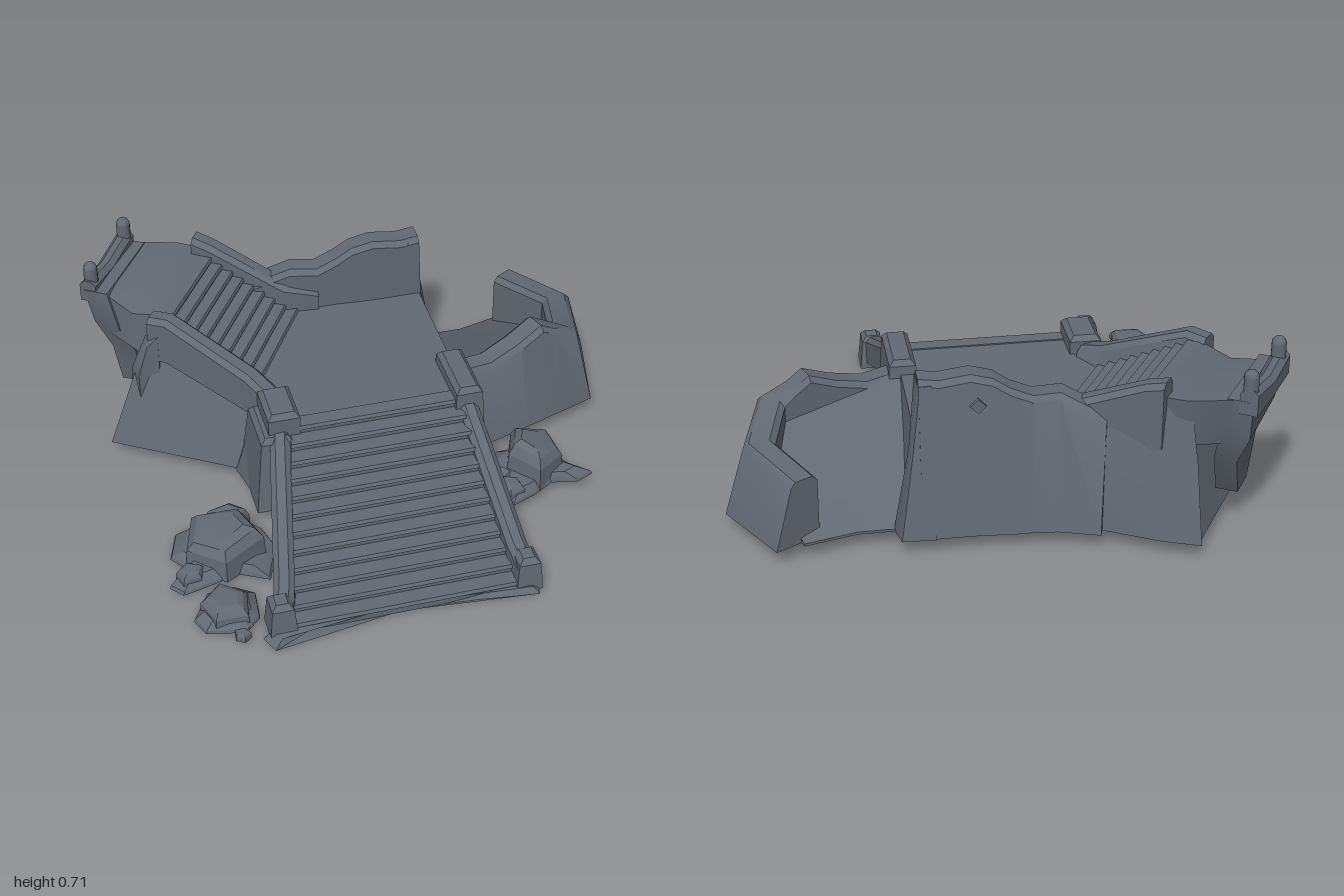
import * as THREE from 'three';
import { toCreasedNormals } from 'three/addons/utils/BufferGeometryUtils.js';

const stone = new THREE.MeshStandardMaterial({ color: 0x626973 });
stone.name = 'slate stone';

const lerp = (a, b, t) => a.map((v, i) => v + (b[i] - v) * t);
const at = (y, pts) => pts.map(([x, z]) => [x, y, z]);

// Skin a closed solid through rings with equal point counts; winding is fixed by signed volume
function skin(rings, crease = 0.6) {
  const tris = [];
  const n = rings[0].length;
  for (let r = 0; r + 1 < rings.length; r++) {
    for (let i = 0; i < n; i++) {
      const j = (i + 1) % n;
      const [a, b, c, d] = [rings[r][i], rings[r][j], rings[r + 1][j], rings[r + 1][i]];
      tris.push([a, b, c], [a, c, d]);
    }
  }
  const cap = (ring, flip) => {
    const mid = [0, 1, 2].map(k => ring.reduce((s, p) => s + p[k], 0) / n);
    ring.forEach((p, i) => {
      const q = ring[(i + 1) % n];
      tris.push(flip ? [mid, q, p] : [mid, p, q]);
    });
  };
  cap(rings[0], true);
  cap(rings[rings.length - 1], false);
  const v = p => new THREE.Vector3(...p);
  const volume = tris.reduce((s, [a, b, c]) => s + v(a).dot(v(b).cross(v(c))), 0);
  const flat = tris.flatMap(([a, b, c]) => (volume < 0 ? [a, c, b] : [a, b, c])).flat();
  const geo = new THREE.BufferGeometry();
  geo.setAttribute('position', new THREE.Float32BufferAttribute(flat, 3));
  return toCreasedNormals(geo, crease);
}

// Sweep a bevelled, mitred wall along [x, z, top, bottom]; flare widens the foot on the outer side
function wall(path, width, flare = 0, bevel = 0.02) {
  const h = width / 2;
  const normal = (a, b) => new THREE.Vector2(a[1] - b[1], b[0] - a[0]).normalize();
  return skin(path.map((p, i) => {
    const [x, z, top, bottom] = p;
    const before = normal(path[Math.max(0, i - 1)], path[Math.max(1, i)]);
    const after = i + 1 < path.length ? normal(p, path[i + 1]) : before;
    const n = before.clone().add(after).normalize();
    n.divideScalar(Math.max(0.6, n.dot(after)));
    return [[-h, bottom], [-h, top - bevel], [-h + bevel, top], [h - bevel, top],
      [h, top - bevel], [h + flare, bottom]].map(([o, y]) => [x + n.x * o, y, z + n.y * o]);
  }));
}

// Bevelled upright block, with an optional wider foot
function pillar(x, z, w, d, y0, y1, foot = 0) {
  const ring = (y, g) => at(y, [[-1, -1], [1, -1], [1, 1], [-1, 1]]
    .map(([i, j]) => [x + i * (w / 2 + g), z + j * (d / 2 + g)]));
  return skin([ring(y0, foot), ring(y1 - 0.02, 0), ring(y1, -0.018)]);
}

export function createModel() {
  const group = new THREE.Group();
  const add = (name, geo, parent = group) => {
    const mesh = new THREE.Mesh(geo, stone);
    mesh.name = name;
    parent.add(mesh);
    return mesh;
  };

  // Flight of steps between a low edge and a high edge; underside(y) gives the bottom height
  function stairs(name, lowA, lowB, highA, highB, count, underside) {
    const flight = new THREE.Group();
    flight.name = name;
    group.add(flight);
    for (let i = 0; i < count; i++) {
      const t0 = i / count, t1 = (i + 1) / count, nose = 0.12 / count;
      const quad = [lerp(lowA, highA, t0), lerp(lowB, highB, t0),
        lerp(lowB, highB, t1), lerp(lowA, highA, t1)];
      const front = [lerp(lowA, highA, t0 - nose), lerp(lowB, highB, t0 - nose), quad[2], quad[3]];
      const y = quad[2][1];
      const low = quad.map(p => [p[0], underside(p[1]), p[2]]);
      add('step', skin([low, quad.map(p => [p[0], y - 0.018, p[2]]),
        front.map(p => [p[0], y - 0.012, p[2]]),
        quad.map(p => [p[0], y, p[2]])], 0.3), flight);
    }
  }

  // Central platform
  add('platform', skin([
    at(0.06, [[-0.5, 0.17], [0.36, 0.17], [0.38, -0.66], [-0.3, -0.7], [-0.54, -0.02]]),
    at(0.38, [[-0.42, 0.14], [0.32, 0.14], [0.33, -0.6], [-0.28, -0.62], [-0.44, -0.02]]),
  ]));

  // Lower flight with its sloping rails, posts and ragged front lip
  stairs('lowerStairs', [-0.53, 0.01, 0.83], [0.33, 0.01, 0.83], [-0.35, 0.385, 0.12],
    [0.28, 0.385, 0.12], 12, y => Math.max(0, y * 0.8 - 0.025));
  add('frontLip', skin([
    at(0, [[-0.6, 0.9], [-0.46, 0.83], [-0.1, 0.82], [0.15, 0.84], [0.38, 0.87], [0.4, 0.78], [0.3, 0.77], [-0.55, 0.77], [-0.63, 0.83]]),
    at(0.022, [[-0.57, 0.87], [-0.46, 0.82], [-0.1, 0.81], [0.15, 0.82], [0.36, 0.85], [0.38, 0.78], [0.3, 0.77], [-0.53, 0.77], [-0.59, 0.82]]),
  ]));
  add('leftFrontRail', wall([[0.345, 0.82, 0.11, 0], [0.335, 0.72, 0.145, 0.028], [0.31, 0.14, 0.395, 0.274]], 0.075));
  add('rightFrontRail', wall([[-0.555, 0.82, 0.11, 0], [-0.525, 0.72, 0.145, 0.028], [-0.4, 0.14, 0.395, 0.274]], 0.075));
  add('leftFrontPost', pillar(0.35, 0.79, 0.08, 0.09, 0, 0.135, 0.01));
  add('rightFrontPost', pillar(-0.555, 0.79, 0.08, 0.09, 0, 0.135, 0.01));
  add('rightPillar', pillar(-0.39, 0.09, 0.12, 0.19, 0.3, 0.45));
  add('rightPillarFoot', pillar(-0.425, 0.1, 0.12, 0.23, 0.06, 0.37, 0.03));
  add('leftPillar', pillar(0.315, 0.06, 0.1, 0.27, 0.06, 0.435, 0.02));

  // Upper flight and the battered masonry below it
  stairs('upperStairs', [-0.43, 0.37, -0.1], [-0.17, 0.37, -0.53],
    [-0.74, 0.585, -0.36], [-0.48, 0.585, -0.76], 9, () => 0.2);
  add('upperFlightBase', skin([
    at(0.06, [[-0.97, -0.31], [-0.52, -0.02], [-0.25, -0.3], [-0.28, -0.72], [-0.42, -0.76], [-0.62, -0.9]]),
    [[-0.79, 0.5, -0.37], [-0.42, 0.36, -0.06], [-0.24, 0.34, -0.3], [-0.22, 0.36, -0.58],
      [-0.42, 0.5, -0.72], [-0.57, 0.55, -0.77]],
  ]));
  add('upperLanding', skin([
    at(0.4, [[-0.82, -0.4], [-0.72, -0.35], [-0.48, -0.74], [-0.6, -0.79], [-0.74, -0.8], [-0.91, -0.56]]),
    [[-0.83, 0.55, -0.45], [-0.73, 0.585, -0.36], [-0.47, 0.585, -0.75], [-0.58, 0.59, -0.82],
      [-0.76, 0.6, -0.86], [-0.94, 0.6, -0.58]],
  ]));
  add('rightUpperRail', wall([[-0.39, 0, 0.42, 0.3], [-0.45, -0.09, 0.46, 0.3],
    [-0.71, -0.31, 0.61, 0.42], [-0.77, -0.36, 0.6, 0.42]], 0.085, 0.03));
  add('brokenRail', wall([[-0.75, -0.33, 0.55, 0.35], [-0.8, -0.35, 0.5, 0.3], [-0.85, -0.34, 0.38, 0.2]], 0.07, 0.02));
  add('leftUpperRail', wall([[-0.52, -0.77, 0.65, 0.4], [-0.46, -0.73, 0.63, 0.36],
    [-0.21, -0.575, 0.5, 0.3], [-0.08, -0.565, 0.46, 0.3]], 0.085));
  add('rearButtress', skin([
    at(0.06, [[-0.63, -0.91], [-0.5, -0.86], [-0.28, -0.74], [-0.28, -0.55], [-0.6, -0.7]]),
    at(0.35, [[-0.62, -0.84], [-0.5, -0.81], [-0.29, -0.71], [-0.28, -0.55], [-0.6, -0.7]]),
    [[-0.6, 0.56, -0.8], [-0.5, 0.57, -0.77], [-0.3, 0.47, -0.68], [-0.28, 0.46, -0.62], [-0.56, 0.56, -0.74]],
  ]));

  // Overhanging corbel, cross beam and finials at the far end
  add('corbel', skin([
    at(0.14, [[-0.87, -0.6], [-0.81, -0.7], [-0.74, -0.66], [-0.8, -0.56]]),
    at(0.32, [[-0.9, -0.58], [-0.77, -0.8], [-0.7, -0.75], [-0.82, -0.52]]),
    at(0.45, [[-0.96, -0.58], [-0.79, -0.87], [-0.7, -0.81], [-0.88, -0.5]]),
    at(0.6, [[-0.99, -0.58], [-0.79, -0.89], [-0.71, -0.84], [-0.91, -0.53]]),
  ]));
  add('endBeam', wall([[-0.775, -0.88, 0.65, 0.55], [-0.88, -0.725, 0.62, 0.55], [-0.975, -0.575, 0.64, 0.55]], 0.065));
  for (const [x, z, top] of [[-0.785, -0.86, 0.715], [-0.955, -0.605, 0.705]]) {
    const finial = add('finial', new THREE.CapsuleGeometry(0.027, 0.08, 5, 12));
    finial.position.set(x, top - 0.067, z);
  }

  // Ruined rear wall, sloping outward to its foot
  add('rearWall', wall([[0.325, -0.58, 0.64, 0.06], [0.25, -0.58, 0.63, 0.06], [0.14, -0.58, 0.645, 0.06],
    [0.06, -0.585, 0.625, 0.06], [0, -0.59, 0.585, 0.06], [-0.08, -0.59, 0.55, 0.06],
    [-0.18, -0.6, 0.56, 0.06], [-0.34, -0.65, 0.48, 0.06]], 0.11, 0.09));
  add('rearWallEnd', skin([
    at(0.06, [[0.28, -0.73], [0.4, -0.725], [0.42, -0.64], [0.39, -0.52], [0.28, -0.52]]),
    at(0.38, [[0.28, -0.67], [0.35, -0.67], [0.36, -0.62], [0.335, -0.525], [0.28, -0.525]]),
    at(0.62, [[0.28, -0.635], [0.32, -0.635], [0.327, -0.61], [0.327, -0.53], [0.28, -0.53]]),
  ]));
  const stud = add('diamondStud', new THREE.BoxGeometry(0.04, 0.04, 0.02));
  stud.position.set(0.12, 0.54, -0.65);
  stud.rotation.z = Math.PI / 4;

  // Side enclosure: a floor ramping down to the open back, held by an angular wall
  const floor = [[0.3, -0.66], [0.42, -0.65], [0.55, -0.65], [0.74, -0.7], [0.86, -0.42], [0.78, -0.17], [0.3, -0.03]];
  add('sideRamp', skin([at(0.06, floor),
    floor.map(([x, z]) => [x, Math.max(0.07, 0.08 + 0.52 * (z + 0.63)), z])]));
  add('sideWall', wall([[0.34, -0.02, 0.385, 0.06], [0.46, -0.055, 0.37, 0.06], [0.58, -0.095, 0.405, 0.06],
    [0.68, -0.13, 0.45, 0.06], [0.74, -0.15, 0.41, 0.06], [0.81, -0.175, 0.375, 0.06],
    [0.87, -0.42, 0.335, 0.06], [0.73, -0.665, 0.31, 0.06]], 0.11, 0.07));

  // Rubble: ragged low skirts of debris
  function skirt(name, y, outline) {
    const cx = outline.reduce((s, p) => s + p[0], 0) / outline.length;
    const cz = outline.reduce((s, p) => s + p[1], 0) / outline.length;
    const ring = (h, k) => at(y + h, outline.map(([x, z]) => [cx + (x - cx) * k, cz + (z - cz) * k]));
    add(name, skin([ring(0, 1), ring(0.012, 0.97), ring(0.04, 0.7)], 0.5));
  }
  skirt('largeRubble', 0.015, [[-0.83, 0.24], [-0.72, 0.2], [-0.58, 0.2], [-0.51, 0.29], [-0.48, 0.4],
    [-0.54, 0.56], [-0.65, 0.5], [-0.74, 0.53], [-0.86, 0.56], [-0.9, 0.51], [-0.82, 0.43], [-0.87, 0.36]]);
  skirt('smallRubble', 0.015, [[-0.85, 0.7], [-0.78, 0.58], [-0.68, 0.57], [-0.61, 0.62], [-0.62, 0.74],
    [-0.67, 0.79], [-0.74, 0.79], [-0.82, 0.77]]);
  skirt('sideRubble', 0.045, [[0.35, 0.2], [0.45, 0.13], [0.55, 0.13], [0.65, 0.18], [0.7, 0.27], [0.77, 0.34],
    [0.7, 0.37], [0.6, 0.35], [0.52, 0.4], [0.42, 0.44], [0.37, 0.38], [0.42, 0.29]]);

  // Angular boulders; tilt raises the +x side
  function rock(name, x, z, rx, rz, y0, height, turn, tilt = 0) {
    const ring = (h, s) => Array.from({ length: 5 }, (_, i) => {
      const a = (i / 5) * Math.PI * 2 + turn;
      const r = s * (1 + 0.1 * Math.sin(i * 2.4 + turn));
      return [x + Math.cos(a) * rx * r, y0 + h * (height + tilt * Math.cos(a)), z + Math.sin(a) * rz * r];
    });
    add(name, skin([ring(0, 1), ring(0.65, 0.95), ring(0.9, 0.76), ring(1, 0.5)], 0.3));
  }
  rock('largeRock', -0.68, 0.38, 0.16, 0.15, 0.015, 0.135, 0.4, 0.02);
  rock('largeRockChip', -0.82, 0.49, 0.06, 0.05, 0.015, 0.06, 2.1);
  rock('rearRockChip', -0.64, 0.28, 0.1, 0.06, 0.015, 0.12, 1.2);
  rock('smallRock', -0.73, 0.69, 0.1, 0.1, 0.015, 0.08, 0.9);
  rock('pebble', -0.7, 0.82, 0.032, 0.028, 0.015, 0.03, 0.2);
  rock('sideRock', 0.56, 0.25, 0.125, 0.125, 0.045, 0.145, 1.7, -0.02);
  rock('sideRockChip', 0.43, 0.37, 0.055, 0.055, 0.045, 0.06, 0.6);

  return group;
}
